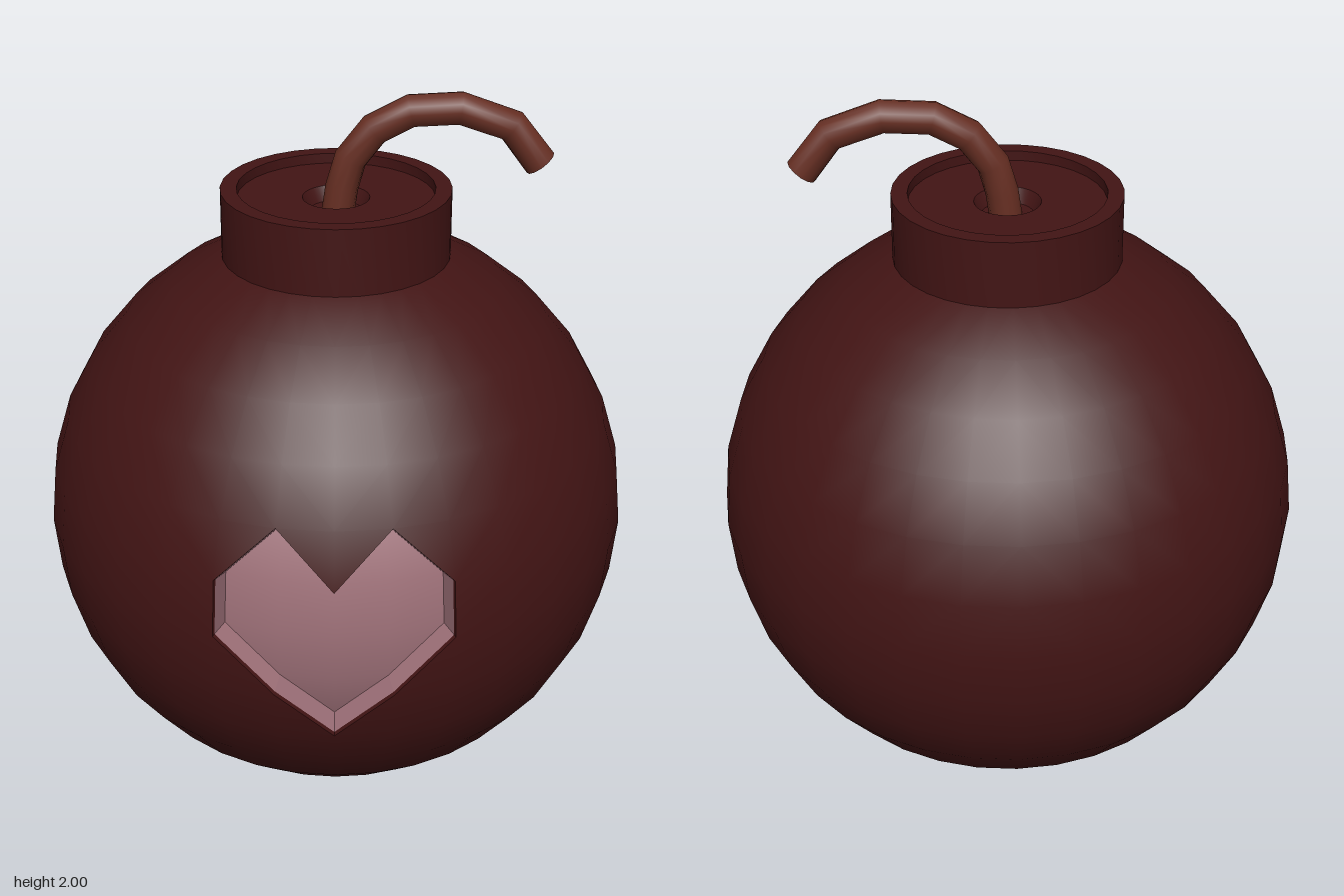
import * as THREE from 'three';
import { toCreasedNormals } from 'three/addons/utils/BufferGeometryUtils.js';

const R = 0.807, CENTER_Y = 0.81, CENTER_Z = 0.01;
const STEP = Math.PI / 16; // sphere grid: 32 columns, 16 rows
const LIP = 0.985, FLOOR = 0.91; // radial scales of the heart recess

const bodyMat = new THREE.MeshStandardMaterial({ color: 0x421414 });
const heartMat = new THREE.MeshStandardMaterial({ color: 0xa0727a });
const fuseMat = new THREE.MeshStandardMaterial({ color: 0x662e22 });

// Grid point (column i, row j) on the sphere; (0, 0) is the front centre
function gridPoint([i, j], scale = 1) {
  const lon = i * STEP, lat = j * STEP;
  return new THREE.Vector3(
    Math.cos(lat) * Math.sin(lon), Math.sin(lat), Math.cos(lat) * Math.cos(lon)
  ).multiplyScalar(R * scale);
}

// Heart area in grid units
function inHeart(i, j) {
  const a = Math.abs(i);
  return a < 2 && j > a - 2 && j < 2 - Math.abs(a - 1);
}

function fromTriangles(points, round) {
  const geo = new THREE.BufferGeometry().setFromPoints(points);
  if (round) {
    const normals = points.flatMap((p) => p.clone().normalize().toArray());
    geo.setAttribute('normal', new THREE.Float32BufferAttribute(normals, 3));
  } else geo.computeVertexNormals();
  return geo;
}

// Sphere triangles, sorted into the shell and the sunken heart floor
function sphereParts() {
  const shell = [], floor = [];
  for (let j = -8; j < 6; j++) {
    for (let i = -16; i < 16; i++) {
      const a = [i, j], b = [i + 1, j], c = [i + 1, j + 1], d = [i, j + 1];
      // diagonals follow the slanted heart edges
      const rising = (i >= 0) !== (j === 1 && (i === 1 || i === -2));
      const tris = rising ? [[a, b, c], [a, c, d]] : [[a, b, d], [b, c, d]];
      for (const t of tris) {
        const ci = (t[0][0] + t[1][0] + t[2][0]) / 3;
        const cj = (t[0][1] + t[1][1] + t[2][1]) / 3;
        if (inHeart(ci, cj)) floor.push(...t.map((p) => gridPoint(p, FLOOR)));
        else shell.push(...t.map((p) => gridPoint(p)));
      }
    }
  }
  return { shell: fromTriangles(shell, true), floor: fromTriangles(floor, true) };
}

// Inward-facing band around the heart between two radial scales
function heartBand(outer, inner) {
  const outline = [[0, -2], [1, -1], [2, 0], [2, 1], [1, 2], [0, 1], [-1, 2], [-2, 1], [-2, 0], [-1, -1]];
  const pts = [];
  outline.forEach((p, k) => {
    const q = outline[(k + 1) % outline.length];
    const a = gridPoint(p, outer), b = gridPoint(q, outer);
    const c = gridPoint(q, inner), d = gridPoint(p, inner);
    pts.push(a, b, c, a, c, d);
  });
  return fromTriangles(pts, false);
}

// Curve sampled exactly at its control points, giving a faceted bend
class KnotCurve extends THREE.CatmullRomCurve3 {
  getPointAt(u, target) { return this.getPoint(u, target); }
  getTangentAt(u, target) { return this.getTangent(u, target); }
}

export function createModel() {
  const model = new THREE.Group();
  model.name = 'roundBomb';
  const add = (name, geo, mat, y = 0) => {
    const mesh = new THREE.Mesh(geo, mat);
    mesh.name = name;
    mesh.position.set(0, y, CENTER_Z);
    model.add(mesh);
    return mesh;
  };

  // Ball with a sunken heart on the front
  const { shell, floor } = sphereParts();
  add('ball', shell, bodyMat, CENTER_Y);
  add('heartLip', heartBand(1, LIP), bodyMat, CENTER_Y);
  add('heartWall', heartBand(LIP, FLOOR), heartMat, CENTER_Y);
  add('heartFloor', floor, heartMat, CENTER_Y);

  // Neck with a recessed top and a fuse socket
  const profile = [
    [0.309, 1.555], [0.309, 1.74], [0.265, 1.74], [0.265, 1.712],
    [0.09, 1.712], [0.07, 1.675], [0, 1.675],
  ].map(([x, y]) => new THREE.Vector2(x, y));
  add('neck', toCreasedNormals(new THREE.LatheGeometry(profile, 32), 0.5), bodyMat);

  // Curved fuse with a closed tip
  const path = [
    [0.005, 1.67], [0.015, 1.74], [0.038, 1.82], [0.1, 1.9],
    [0.195, 1.95], [0.325, 1.957], [0.46, 1.91], [0.538, 1.808],
  ].map(([x, y]) => new THREE.Vector3(x, y, 0));
  const curve = new KnotCurve(path);
  add('fuse', new THREE.TubeGeometry(curve, path.length - 1, 0.044, 12), fuseMat);
  const tip = add('fuseTip', new THREE.CircleGeometry(0.044, 12), fuseMat);
  tip.position.add(path[path.length - 1]);
  tip.quaternion.setFromUnitVectors(new THREE.Vector3(0, 0, 1), curve.getTangent(1));

  return model;
}
